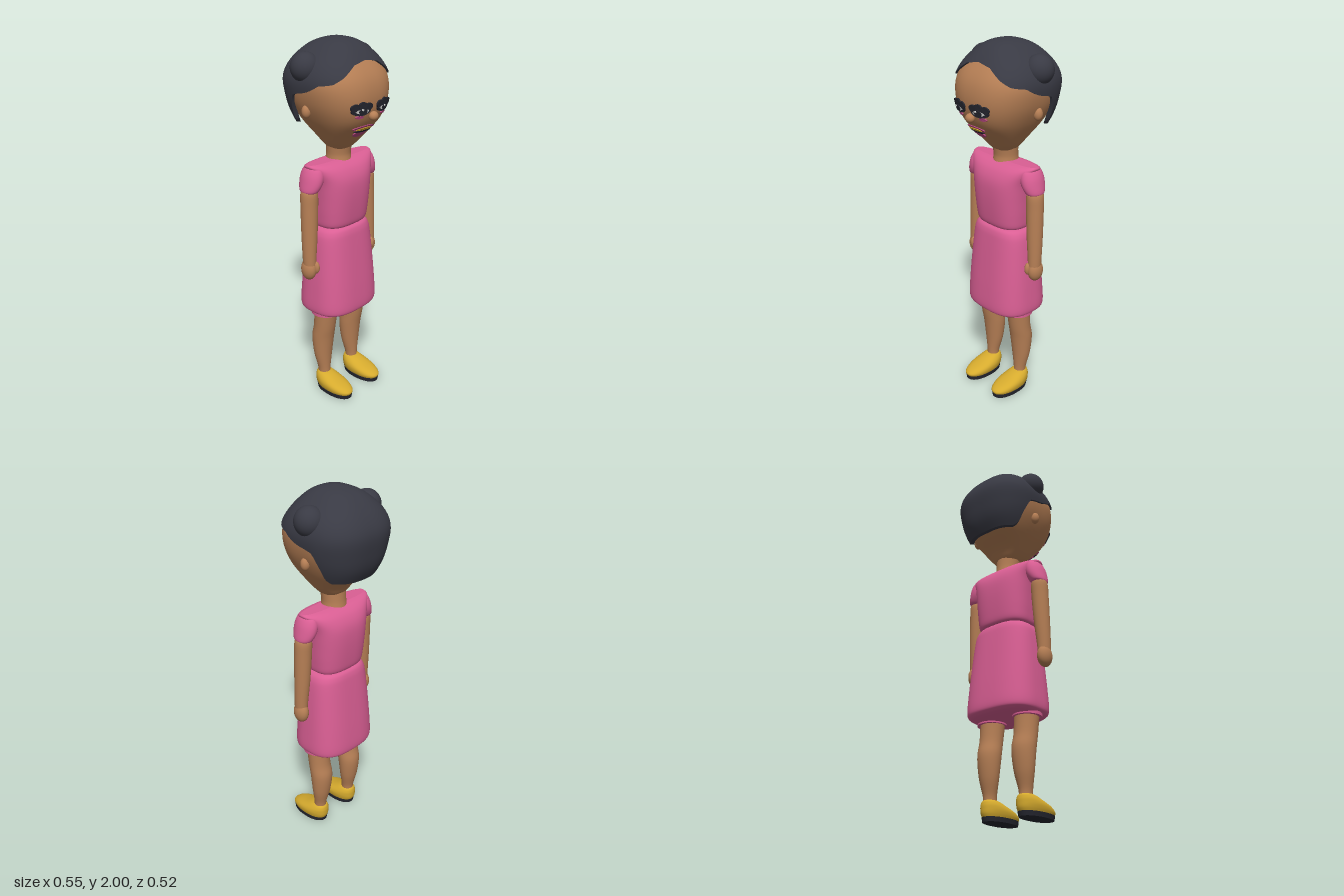
import * as THREE from 'three';

const mat = (name, color, side = THREE.FrontSide) => {
  const m = new THREE.MeshStandardMaterial({ color, side });
  m.name = name;
  return m;
};

// Smooth interpolation through rows of numbers, u from 0 to 1
function sample(rows, u) {
  const f = Math.min(Math.max(u, 0), 1) * (rows.length - 1);
  const i = Math.min(Math.floor(f), rows.length - 2), t = f - i;
  const r = k => rows[Math.min(Math.max(k, 0), rows.length - 1)];
  const [a, b, c, d] = [r(i - 1), r(i), r(i + 1), r(i + 2)];
  return b.map((_, k) => b[k] + 0.5 * t * (c[k] - a[k]
    + t * (2 * a[k] - 5 * b[k] + 4 * c[k] - d[k] + t * (3 * (b[k] - c[k]) + d[k] - a[k]))));
}

function findU(rows, y) {
  let lo = 0, hi = 1;
  for (let i = 0; i < 24; i++) {
    const m = (lo + hi) / 2;
    if (sample(rows, m)[0] < y) lo = m; else hi = m;
  }
  return lo;
}

// Point on a superellipse section [y, halfWidth, halfDepth, centreX, centreZ]
function ringPoint([y, w, d, cx, cz], a, n, scale = 1) {
  const s = Math.sin(a), c = Math.cos(a);
  const p = v => Math.sign(v) * Math.pow(Math.abs(v), 2 / n) * scale;
  return [cx + Math.max(w, 0) * p(s), y, cz + Math.max(d, 0) * p(c)];
}

// Grid of points closed round the y axis, rows running upwards
function gridGeometry(point, rowCount, seg, breaks = []) {
  const pos = [], idx = [];
  for (let i = 0; i < rowCount; i++)
    for (let j = 0; j < seg; j++) pos.push(...point(i, (j / seg) * Math.PI * 2));
  for (let i = 0; i < rowCount - 1; i++) {
    if (breaks.includes(i)) continue;
    for (let j = 0; j < seg; j++) {
      const a = i * seg + j, b = i * seg + (j + 1) % seg;
      idx.push(a, b, a + seg, b, b + seg, a + seg);
    }
  }
  const g = new THREE.BufferGeometry();
  g.setAttribute('position', new THREE.Float32BufferAttribute(pos, 3));
  g.setIndex(idx);
  g.computeVertexNormals();
  return g;
}

// Capped body lofted through sections, with sharp cap edges
function loft(rows, n = 2, steps = 28, seg = 48) {
  return gridGeometry((i, a) => {
    const u = (i - 2) / steps;
    const shrink = i === 0 || i === steps + 4 ? 0 : 1;
    return ringPoint(sample(rows, u), a, n, shrink);
  }, steps + 5, seg, [1, steps + 2]);
}

const HEAD = [[1.42, .04, .035, 0, .01], [1.45, .075, .07, 0, .01], [1.5, .118, .11, 0, .014],
  [1.6, .185, .2, 0, .01], [1.7, .228, .24, 0, 0], [1.8, .238, .235, 0, -.006],
  [1.88, .198, .19, 0, -.01], [1.95, .115, .115, 0, -.015], [1.97, .001, .001, 0, -.015]];
const HAIR = [[1.54, .18, .19, 0, 0], [1.62, .215, .228, 0, -.005], [1.7, .239, .248, 0, -.006],
  [1.8, .249, .249, 0, -.014], [1.88, .215, .21, 0, -.018], [1.95, .14, .145, 0, -.015],
  [1.985, .075, .08, 0, -.01], [2, .001, .001, 0, -.01]];
// Hairline: [degrees from the front, height]
const HAIRLINE = [[0, 1.9], [18, 1.885], [37, 1.835], [52, 1.807], [72, 1.795], [90, 1.75],
  [103, 1.73], [109, 1.68], [118, 1.59], [128, 1.567], [180, 1.56]];

function hairlineY(a) {
  const d = Math.min(a, Math.PI * 2 - a) * 180 / Math.PI;
  const k = Math.max(1, HAIRLINE.findIndex(h => h[0] >= d - 1e-6));
  const [p, q] = [HAIRLINE[k - 1], HAIRLINE[k]];
  return THREE.MathUtils.lerp(p[1], q[1], (d - p[0]) / (q[0] - p[0]));
}

function faceZ(x, y) {
  const [, w, d, , cz] = sample(HEAD, findU(HEAD, y));
  return cz + d * Math.pow(Math.max(0, 1 - Math.pow(Math.abs(x / w), 2.5)), 1 / 2.5);
}

// Thin plate bent onto the face
function facePlate(shape, x, y, lift = 0) {
  const g = new THREE.ExtrudeGeometry(shape, { depth: .009, bevelEnabled: false, curveSegments: 20 });
  const p = g.attributes.position;
  for (let i = 0; i < p.count; i++) {
    const px = p.getX(i) + x, py = p.getY(i) + y;
    p.setXYZ(i, px, py, p.getZ(i) + lift + faceZ(px, py));
  }
  g.computeVertexNormals();
  return g;
}

const oval = (rx, ry) => new THREE.Shape().absellipse(0, 0, rx, ry, 0, Math.PI * 2);

function ellipsoid(rx, ry, rz, x, y, z) {
  return new THREE.SphereGeometry(1, 32, 20).scale(rx, ry, rz).translate(x, y, z);
}

export function createModel() {
  const skin = mat('skin', 0xb67f55);
  const pink = mat('dress pink', 0xda5f94);
  const hair = mat('hair charcoal', 0x393a44);
  const yellow = mat('shoe yellow', 0xd6ab2e);
  const dark = mat('sole and lash dark', 0x25262f);
  const white = mat('eye white', 0xd9d9d6);
  const lip = mat('lip pink', 0xb84a80);

  const model = new THREE.Group();
  model.name = 'figure';
  const add = (name, geometry, material) => {
    const m = new THREE.Mesh(geometry, material);
    m.name = name;
    model.add(m);
    return m;
  };

  // Head and neck
  add('head', loft(HEAD, 2.5, 48, 72), skin);
  add('neck', loft([[1.36, .07, .07, 0, 0], [1.4, .066, .064, 0, 0], [1.45, .07, .066, 0, .005]]), skin);
  add('nose', ellipsoid(.026, .024, .024, -.002, 1.635, .236), skin);

  // Hair cap with a tucked-in rim along the hairline
  const rows = 36;
  add('hair', gridGeometry((i, a) => {
    const u0 = findU(HAIR, hairlineY(a));
    const u = u0 + (1 - u0) * Math.max(0, i - 2) / (rows - 3);
    return ringPoint(sample(HAIR, u), a, 2.6, i === 0 ? .9 : 1);
  }, rows, 120, [1]), hair);

  // Face details
  add('upperLip', facePlate(oval(.07, .014), -.018, 1.57), lip);
  add('lowerLip', facePlate(oval(.042, .022), -.018, 1.537), lip);
  add('teeth', facePlate(oval(.052, .007), -.018, 1.565, .004), yellow);
  add('mouthLine', facePlate(oval(.055, .006), -.018, 1.552, .004), dark);

  for (const s of [-1, 1]) {
    const side = s > 0 ? 'left' : 'right';
    const ex = s * .077 - .009;
    // Eyes: scalloped lashes, whites, irises and cheeks
    add(side + 'Eye', facePlate(oval(.052, .026), ex, 1.675, .002), dark);
    for (const k of [-1, 0, 1])
      add(side + 'Lash', facePlate(oval(.023, .019), ex + k * .036, 1.7 - Math.abs(k) * .008, .005), dark);
    add(side + 'EyeWhite', facePlate(oval(.034, .012), ex, 1.672, .006), white);
    add(side + 'Iris', facePlate(oval(.021, .016), ex, 1.673, .01), dark);
    add(side + 'EyeGlint', facePlate(oval(.005, .005), ex - .008, 1.682, .014), white);
    add(side + 'Cheek', facePlate(oval(.02, .008), s * .085 - .004, 1.64), lip);

    add(side + 'Ear', ellipsoid(.024, .034, .024, s * .214, 1.652, -.018), skin);
    add(side + 'Bun', ellipsoid(.075, .076, .075, s * .2, 1.865, -.035), hair);

    // Sleeve, arm and hand
    add(side + 'Sleeve', loft([[1.235, .03, .035, s * .222, 0], [1.245, .042, .055, s * .221, 0],
      [1.285, .051, .069, s * .206, 0], [1.33, .05, .068, s * .195, 0],
      [1.365, .034, .05, s * .19, 0], [1.378, .004, .006, s * .185, 0]]), pink);
    add(side + 'Arm', loft([[.81, .032, .036, s * .238, .012], [.88, .036, .038, s * .236, .01],
      [1.0, .042, .043, s * .23, .006], [1.15, .046, .046, s * .224, .002],
      [1.235, .043, .045, s * .222, 0], [1.26, .02, .02, s * .22, 0]]), skin);
    add(side + 'Hand', ellipsoid(.036, .06, .046, s * .241, .806, .008), skin);
    add(side + 'Thumb', ellipsoid(.016, .034, .02, s * .222, .82, .046), skin);

    // Leg with a pink cuff under the hem
    add(side + 'Leg', loft([[.085, .034, .036, s * .116, -.002], [.13, .036, .036, s * .116, -.004],
      [.22, .054, .049, s * .115, -.013], [.33, .064, .061, s * .114, -.013],
      [.42, .063, .061, s * .115, .003], [.58, .068, .068, s * .114, .018]]), skin);
    add(side + 'Cuff', loft([[.5, .078, .08, s * .118, .012], [.56, .078, .08, s * .118, .012]], 2, 4), pink);

    // Shoe and sole
    add(side + 'Shoe', loft([[.02, .058, .118, s * .116, .078], [.04, .064, .125, s * .116, .077],
      [.062, .064, .11, s * .116, .06], [.085, .054, .075, s * .116, .026],
      [.105, .036, .043, s * .116, .003], [.113, .006, .006, s * .116, 0]], 2.2), yellow);
    add(side + 'Sole', loft([[0, .059, .117, s * .116, .079], [.024, .062, .121, s * .116, .078]], 2.2, 4), dark);
  }

  // Dress: bodice and skirt
  add('bodice', loft([[1.015, .13, .09, 0, 0], [1.03, .153, .115, 0, 0], [1.09, .162, .126, 0, 0],
    [1.2, .172, .134, 0, 0], [1.28, .184, .13, 0, 0], [1.335, .208, .108, 0, 0],
    [1.367, .23, .075, 0, 0], [1.38, .225, .04, 0, 0]], 2.8, 42, 64), pink);
  add('skirt', loft([[.508, .165, .125, 0, 0], [.517, .195, .152, 0, 0], [.545, .211, .167, 0, 0],
    [.65, .207, .162, 0, 0], [.8, .196, .148, 0, 0], [.94, .182, .133, 0, 0],
    [.99, .17, .125, 0, 0], [1.014, .15, .112, 0, 0], [1.022, .12, .085, 0, 0]], 2.8, 48, 64), pink);

  return model;
}
